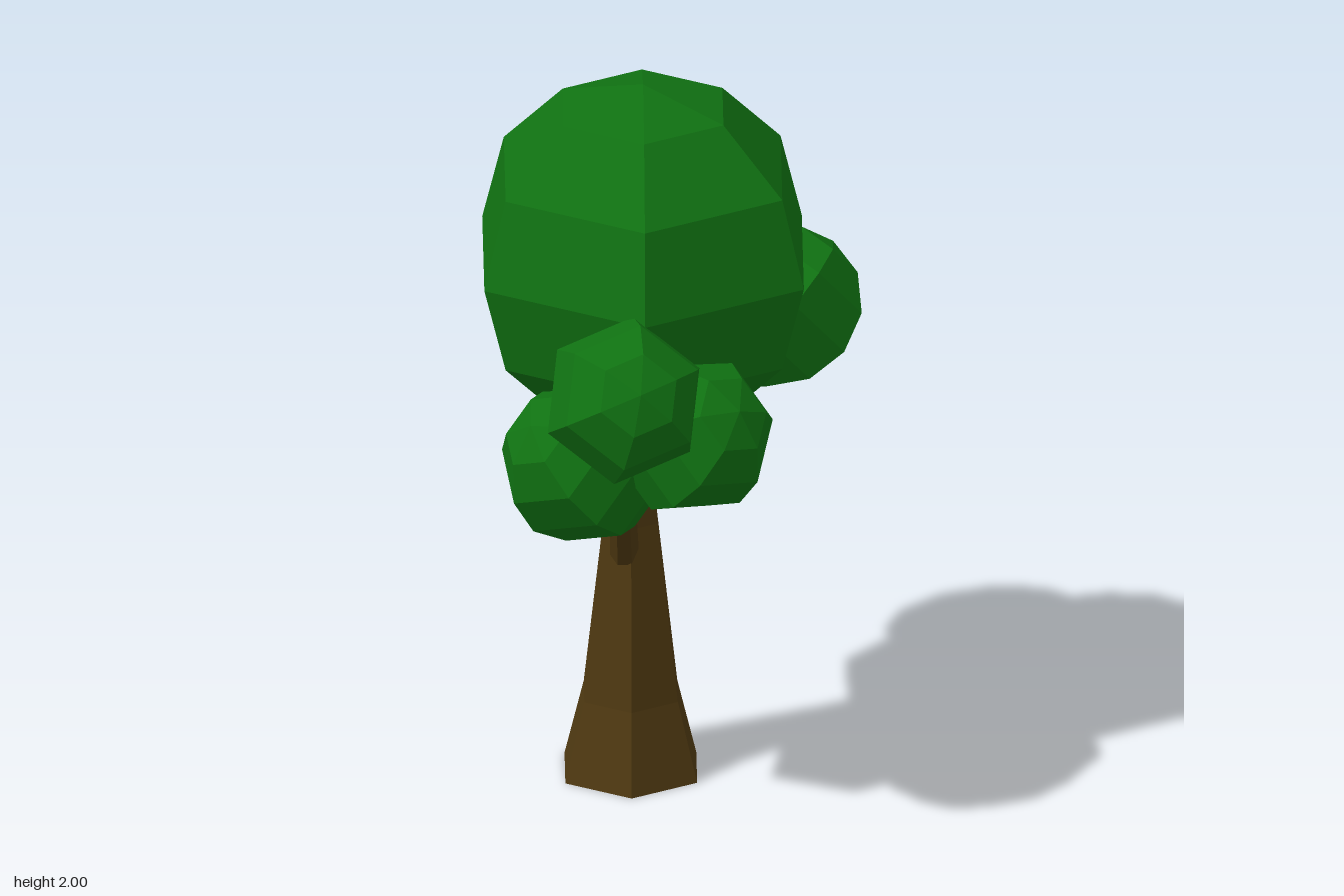
import * as THREE from 'three';

const UP = new THREE.Vector3(0, 1, 0);

export function createModel() {
  const tree = new THREE.Group();
  tree.name = 'tree';
  const mat = (name, color) => {
    const m = new THREE.MeshStandardMaterial({ color, flatShading: true });
    m.name = name;
    return m;
  };
  const leaf = mat('leafGreen', 0x107212);
  const bark = mat('barkBrown', 0x4f3911);
  const cut = mat('cutWood', 0x8a7560);

  const add = (name, geometry, material, x, y, z) => {
    const mesh = new THREE.Mesh(geometry, material);
    mesh.name = name;
    mesh.position.set(x, y, z);
    tree.add(mesh);
    return mesh;
  };

  // Six-sided trunk with a flared foot, corners on the x axis
  const profile = [[0.2, 0], [0.142, 0.22], [0.08, 0.72], [0.06, 1.15]]
    .map(([r, y]) => new THREE.Vector2(r, y));
  add('trunk', new THREE.LatheGeometry(profile, 6, Math.PI / 2), bark, -0.08, 0, -0.01);
  const base = add('trunkBase', new THREE.CircleGeometry(0.2, 6), cut, -0.08, 0, -0.01);
  base.rotation.x = Math.PI / 2;

  // Tapered branches leading into the side foliage
  const branch = (name, from, to, r0, r1) => {
    const a = new THREE.Vector3(...from), b = new THREE.Vector3(...to);
    const dir = b.clone().sub(a);
    const mid = a.clone().add(b).multiplyScalar(0.5);
    const mesh = add(name, new THREE.CylinderGeometry(r1, r0, dir.length(), 6), bark, mid.x, mid.y, mid.z);
    mesh.quaternion.setFromUnitVectors(UP, dir.normalize());
  };
  branch('frontBranch', [-0.065, 0.64, 0.05], [0.07, 1.08, 0.31], 0.038, 0.03);
  branch('backBranch', [-0.065, 0.76, -0.04], [0.0, 1.18, -0.3], 0.034, 0.018);

  // Large crown
  add('crown', new THREE.SphereGeometry(0.485, 6, 6), leaf, -0.015, 1.515, 0.04);

  // Small leaf clumps: centre and the direction their pole leans
  const clumpGeometry = new THREE.SphereGeometry(0.222, 6, 6);
  [
    ['frontUpperClump', [0.21, 1.335, 0.545], [0.6, 0.45, 0.65]],
    ['frontLowerClump', [0.0, 1.05, 0.39], [-0.3, 0.6, 0.6]],
    ['frontLeftClump', [0.275, 1.155, 0.3], [0.7, 0.5, 0.2]],
    ['backRightClump', [-0.155, 1.09, -0.48], [-0.6, 0.4, -0.65]],
    ['backLeftClump', [0.075, 1.155, -0.54], [0.3, 0.6, -0.6]],
    ['backUpperClump', [0.015, 1.335, -0.29], [0.1, 0.7, -0.4]],
  ].forEach(([name, p, lean]) => {
    const mesh = add(name, clumpGeometry, leaf, ...p);
    mesh.quaternion.setFromUnitVectors(UP, new THREE.Vector3(...lean).normalize());
  });

  return tree;
}
